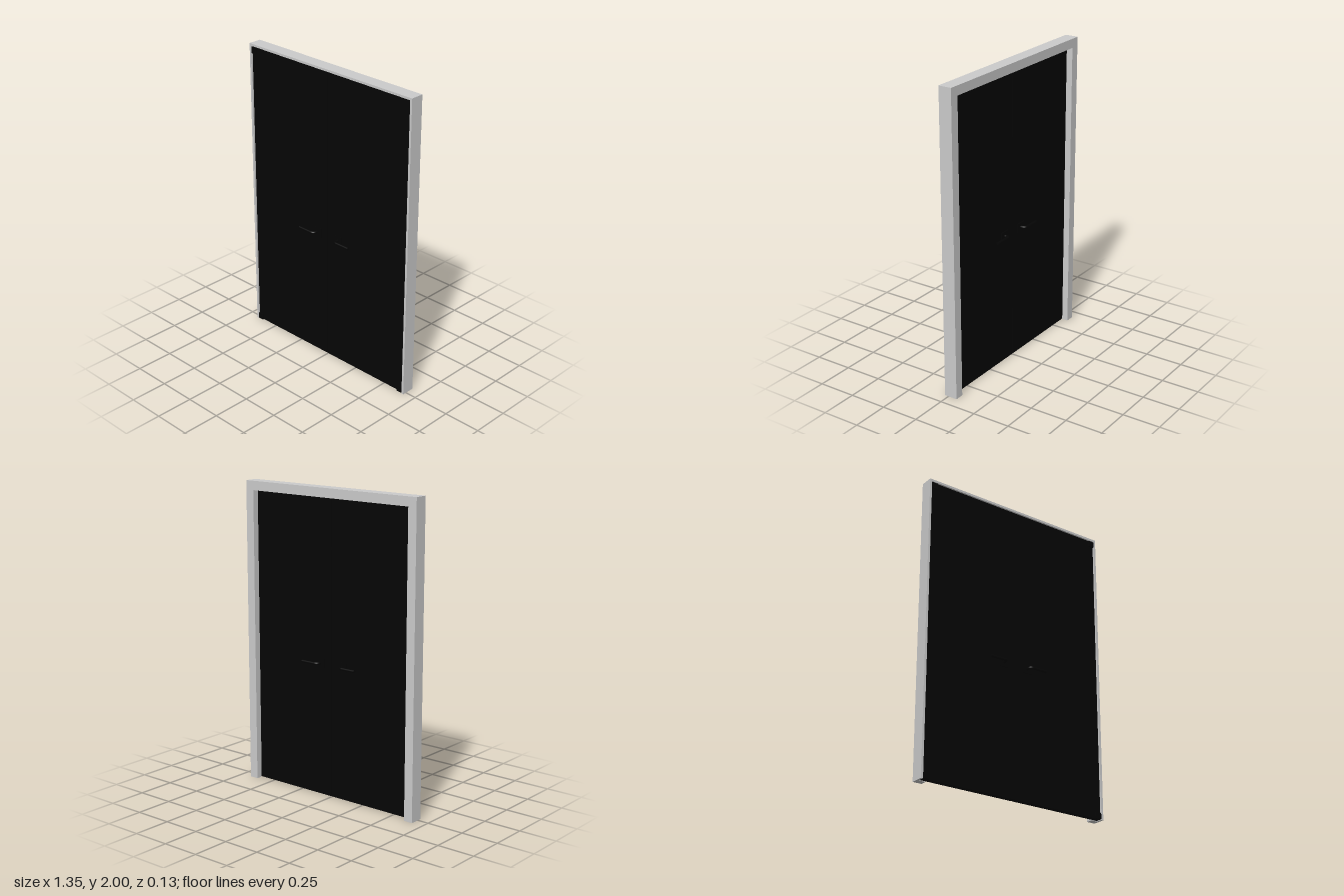
import * as THREE from 'three';

const HALF_W = 0.673, HEIGHT = 2;
const Z_BACK = -0.062, Z_STOP = -0.02, Z_FRONT = 0.026;
const DOOR_FRONT = 0.016, LEVER_Y = 0.88;

const grey = new THREE.MeshStandardMaterial({ color: 0xcccccc });
const black = new THREE.MeshStandardMaterial({ color: 0x050505 });

function add(parent, name, geometry, material, x = 0, y = 0, z = 0) {
  const mesh = new THREE.Mesh(geometry, material);
  mesh.name = name;
  mesh.position.set(x, y, z);
  parent.add(mesh);
  return mesh;
}

// Three-sided surround (two posts and a head), open at the floor
function surround(width, depth) {
  const inner = HALF_W - width, top = HEIGHT - width;
  const shape = new THREE.Shape([
    [-HALF_W, 0], [-inner, 0], [-inner, top], [inner, top],
    [inner, 0], [HALF_W, 0], [HALF_W, HEIGHT], [-HALF_W, HEIGHT],
  ].map(([x, y]) => new THREE.Vector2(x, y)));
  return new THREE.ExtrudeGeometry(shape, { depth, bevelEnabled: false });
}

// Square rose with a bent round lever, starting at the door face and reaching along +x
function createHandle(name, side, faceZ) {
  const handle = new THREE.Group();
  handle.name = name;
  const radius = 0.009, reach = 0.055 - faceZ, bend = 0.022;
  add(handle, 'rose', new THREE.BoxGeometry(0.07, 0.06, 0.006), black, 0, 0, 0.003);

  const path = new THREE.CurvePath();
  const a = new THREE.Vector3(0, 0, 0);
  const b = new THREE.Vector3(0, 0, reach - bend);
  const corner = new THREE.Vector3(0, 0, reach);
  const c = new THREE.Vector3(bend, 0, reach);
  const d = new THREE.Vector3(0.123, 0, reach);
  path.add(new THREE.LineCurve3(a, b));
  path.add(new THREE.QuadraticBezierCurve3(b, corner, c));
  path.add(new THREE.LineCurve3(c, d));
  add(handle, 'lever', new THREE.TubeGeometry(path, 48, radius, 16), black);

  const cap = add(handle, 'leverEnd', new THREE.CircleGeometry(radius, 16), black, d.x, 0, d.z);
  cap.rotation.y = Math.PI / 2;

  // Half turn about the lever axis direction keeps the winding correct
  if (side < 0) handle.rotation.z = Math.PI;
  return handle;
}

export function createModel() {
  const model = new THREE.Group();
  model.name = 'doubleDoor';

  // Rebated frame: a wide stop behind, a slim lip around the leaves in front
  const frame = new THREE.Group();
  frame.name = 'frame';
  model.add(frame);
  add(frame, 'frameStop', surround(0.06, Z_STOP - Z_BACK), grey, 0, 0, Z_BACK);
  add(frame, 'frameLip', surround(0.015, Z_FRONT - Z_STOP), grey, 0, 0, Z_STOP);

  for (const side of [-1, 1]) {
    const label = side > 0 ? 'left' : 'right';

    // Door leaf with a narrow gap at the middle
    const inner = 0.002, outer = 0.657, bottom = 0.004, top = 1.984;
    add(model, label + 'Leaf',
      new THREE.BoxGeometry(outer - inner, top - bottom, DOOR_FRONT - Z_STOP), black,
      side * (inner + outer) / 2, (bottom + top) / 2, (DOOR_FRONT + Z_STOP) / 2);

    // Corner pivots at head and floor
    for (const [name, y] of [['FloorPivot', 0.024], ['HeadPivot', 1.96]]) {
      add(model, label + name, new THREE.BoxGeometry(0.04, 0.04, 0.012), black,
        side * 0.636, y, DOOR_FRONT + 0.005);
    }

    // Lever handles on both faces
    const front = createHandle(label + 'FrontHandle', side, DOOR_FRONT);
    front.position.set(side * 0.09, LEVER_Y, DOOR_FRONT);
    model.add(front);

    const back = createHandle(label + 'BackHandle', -side, -Z_STOP);
    const turned = new THREE.Group();
    turned.name = label + 'BackHandleMount';
    turned.rotation.y = Math.PI;
    turned.position.set(side * 0.09, LEVER_Y, Z_STOP);
    turned.add(back);
    model.add(turned);
  }
  return model;
}
